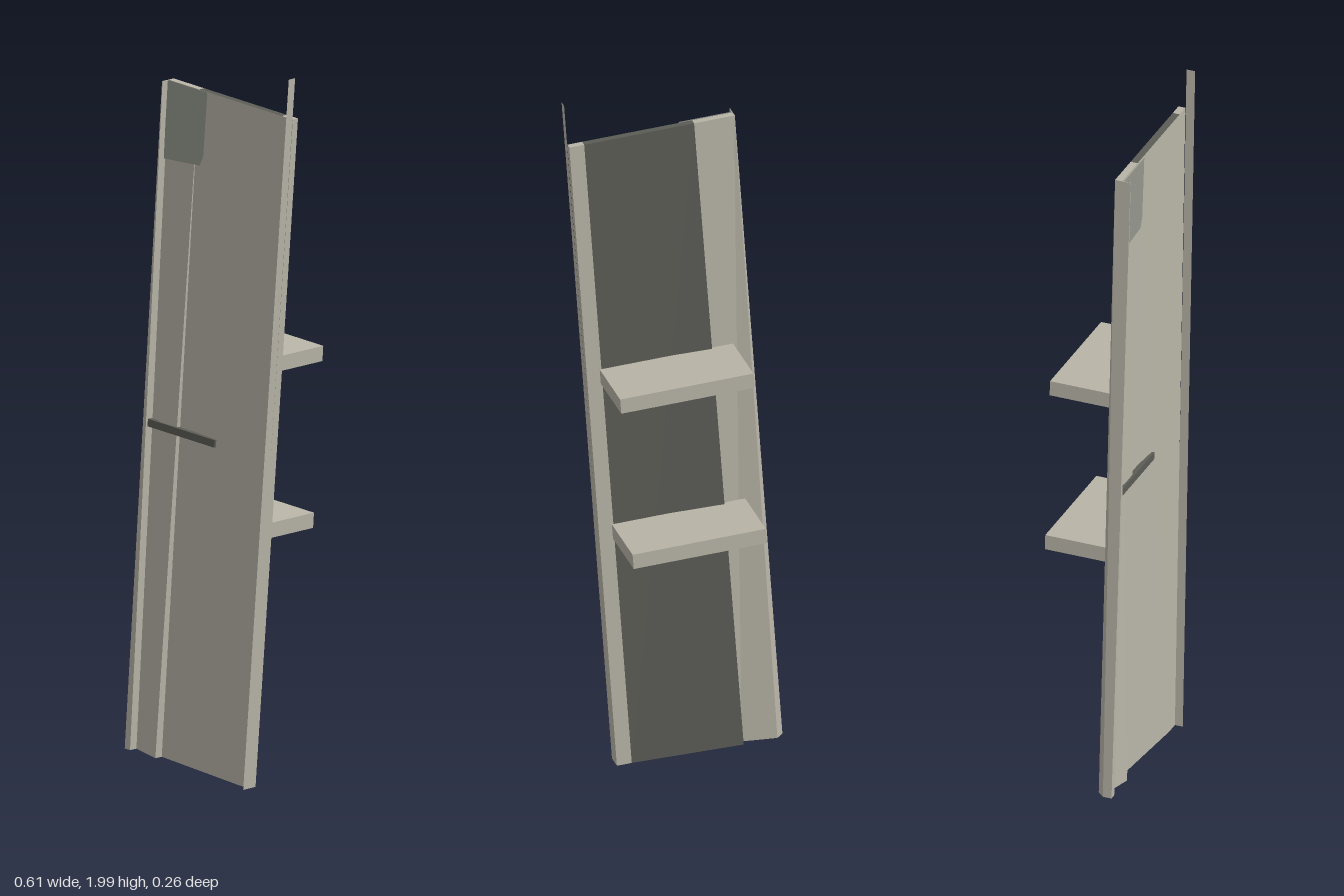
import * as THREE from 'three';

const mat = (name, color, side = THREE.FrontSide) => {
  const m = new THREE.MeshStandardMaterial({ color, side });
  m.name = name;
  return m;
};

// Six-sided slab standing upright. Each end is [x0, x1, front0, front1, back0, back1].
// Group 0 is the front face, group 1 every other face.
function slab(y0, y1, bottom, top) {
  const ends = [[y0, bottom], [y1, top]].map(([y, [x0, x1, f0, f1, b0, b1]]) =>
    [[x0, y, f0], [x1, y, f1], [x1, y, b1], [x0, y, b0]]);
  const [b, t] = ends;
  const quads = [
    [t[0], b[0], b[1], t[1]], // front
    [b[1], b[2], t[2], t[1]], // +x side
    [b[2], b[3], t[3], t[2]], // back
    [b[3], b[0], t[0], t[3]], // -x side
    [t[0], t[1], t[2], t[3]], // top
    [b[3], b[2], b[1], b[0]], // bottom
  ];
  const pos = quads.flatMap(([p, q, r, s]) => [p, q, r, p, r, s].flat());
  const g = new THREE.BufferGeometry();
  g.setAttribute('position', new THREE.Float32BufferAttribute(pos, 3));
  g.computeVertexNormals();
  g.addGroup(0, 6, 0);
  g.addGroup(6, 30, 1);
  return g;
}

export function createModel() {
  const light = mat('weathered beige', 0xb9b5a8);
  const thin = mat('beige sheet', 0xb9b5a8, THREE.DoubleSide);
  const dark = mat('dark grey', 0x5c5d56);
  const patchMat = mat('grey green', 0x95988e, THREE.DoubleSide);

  // Everything is built upright, then the whole board leans toward +x
  const board = new THREE.Group();
  board.name = 'leaningBoard';
  board.position.set(-0.305, 0.035, 0);
  board.rotation.z = -0.0744;
  const add = (name, geometry, material) => {
    const m = new THREE.Mesh(geometry, material);
    m.name = name;
    board.add(m);
    return m;
  };

  const H = 1.88, W = 0.467;

  // Warped planks: bottoms are staggered in depth, tops line up
  add('edgeRim', slab(0, H,
    [0, 0.02, 0.105, 0.105, 0.08, 0.06], [0, 0.002, 0.105, 0.105, 0.06, 0.06]), [light, light]);
  add('sidePlank', slab(0, H,
    [0.02, 0.115, 0.08, 0.105, 0.06, 0.08], [0.002, 0.115, 0.08, 0.08, 0.06, 0.06]), [light, light]);
  add('middlePlank', slab(0, H,
    [0.115, 0.425, 0.08, 0.105, 0.06, 0.08], [0.115, 0.425, 0.08, 0.08, 0.06, 0.06]), [light, dark]);
  add('narrowPlank', slab(0, H,
    [0.425, W, 0.105, 0.105, 0.08, 0.08], [0.425, W, 0.08, 0.08, 0.06, 0.06]), [light, light]);

  // Thin sheet along the +x edge, rising above the board
  const fin = new THREE.BufferGeometry();
  fin.setAttribute('position', new THREE.Float32BufferAttribute([
    W, 0, 0.128, W, 0, 0.104, W, 1.997, 0.08,
    W, 0, 0.128, W, 1.997, 0.08, W, 1.997, 0.105], 3));
  fin.computeVertexNormals();
  add('edgeSheet', fin, thin);

  // Painted patch in the top corner
  const s = new THREE.Shape([[0.003, 1.66], [0.138, 1.672], [0.149, 1.7], [0.151, 1.88], [0.003, 1.88]]
    .map(([x, y]) => new THREE.Vector2(x, y)));
  add('cornerPatch', new THREE.ShapeGeometry(s), patchMat).position.z = 0.0855;

  // Dark bar across the front
  const bar = add('crossBar', new THREE.BoxGeometry(0.25, 0.021, 0.014), dark);
  bar.position.set(0.137, 0.92, 0.092);

  // Shelves on the back
  for (const [name, y] of [['lowerShelf', 0.706], ['upperShelf', 1.176]]) {
    add(name, new THREE.BoxGeometry(0.376, 0.043, 0.2), light).position.set(0.242, y, -0.03);
  }

  const model = new THREE.Group();
  model.name = 'shelfBoard';
  model.add(board);
  return model;
}
